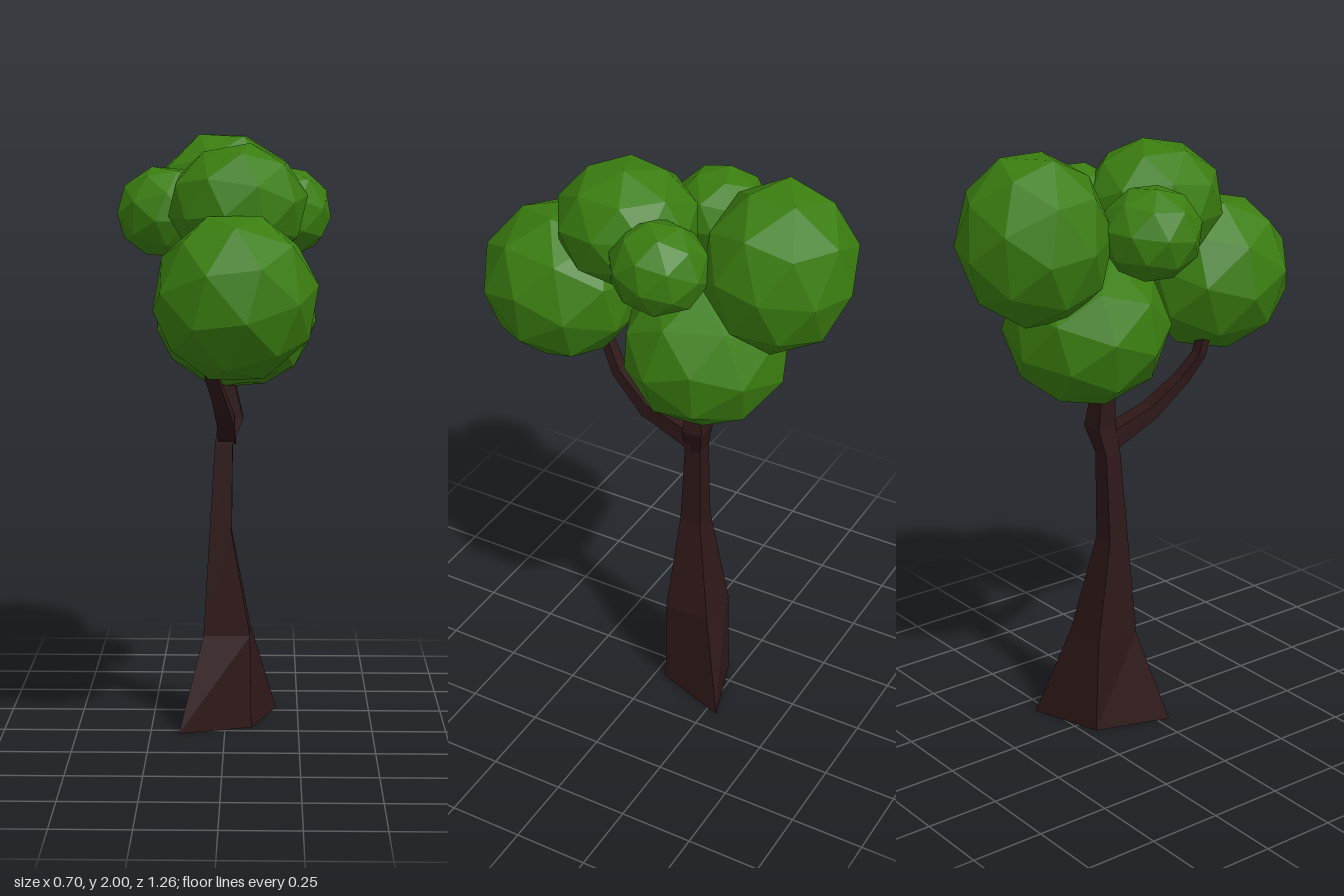
import * as THREE from 'three';
import { ConvexGeometry } from 'three/addons/geometries/ConvexGeometry.js';

const bark = new THREE.MeshStandardMaterial({ color: 0x2e1717, flatShading: true });
const leaf = new THREE.MeshStandardMaterial({ color: 0x3a7d10, flatShading: true });

// Skin a run of four-cornered rings, closing both ends
function loft(name, rings) {
  const pos = [];
  const quad = (a, b, c, d) => pos.push(...a, ...b, ...c, ...a, ...c, ...d);
  for (let r = 0; r < rings.length - 1; r++) {
    const lo = rings[r], hi = rings[r + 1];
    for (let i = 0; i < 4; i++) {
      const j = (i + 1) % 4;
      quad(lo[i], lo[j], hi[j], hi[i]);
    }
  }
  const first = rings[0], last = rings[rings.length - 1];
  quad(first[3], first[2], first[1], first[0]);
  quad(...last);
  const geo = new THREE.BufferGeometry();
  geo.setAttribute('position', new THREE.Float32BufferAttribute(pos, 3));
  geo.computeVertexNormals();
  const mesh = new THREE.Mesh(geo, bark);
  mesh.name = name;
  return mesh;
}

// Level trunk ring: x range and z range at height y
const level = (y, x0, x1, z0, z1) => [[x0, y, z1], [x1, y, z1], [x1, y, z0], [x0, y, z0]];

// Branch ring: centre, half width, half thickness, and climb angle of the branch
function tilted(x, y, z, w, t, angle) {
  const dy = t * Math.cos(angle), dz = -t * Math.sin(angle);
  return [[x - w, y - dy, z - dz], [x + w, y - dy, z - dz], [x + w, y + dy, z + dz], [x - w, y + dy, z + dz]];
}

// Faceted ball: icosahedron corners plus raised face centres
function ballPoints() {
  const p = new THREE.IcosahedronGeometry(1, 0).attributes.position;
  const pts = [];
  for (let i = 0; i < p.count; i += 3) {
    const tri = [0, 1, 2].map(k => new THREE.Vector3().fromBufferAttribute(p, i + k));
    const mid = tri[0].clone().add(tri[1]).add(tri[2]).normalize();
    for (const v of [...tri, mid]) {
      if (!pts.some(q => q.distanceTo(v) < 1e-3)) pts.push(v);
    }
  }
  return pts;
}

// Leaf clump turned at an angle and fitted to its centre and radii
function clump(name, centre, radii, turn) {
  const rot = new THREE.Euler(...turn);
  const pts = ballPoints().map(v => v.applyEuler(rot));
  const box = new THREE.Box3().setFromPoints(pts);
  const half = box.getSize(new THREE.Vector3()).multiplyScalar(0.5);
  const scale = new THREE.Vector3(...radii).divide(half);
  pts.forEach(v => v.multiply(scale));
  const mesh = new THREE.Mesh(new ConvexGeometry(pts), leaf);
  mesh.name = name;
  mesh.position.set(...centre);
  return mesh;
}

export function createModel() {
  const tree = new THREE.Group();
  tree.name = 'tree';

  // Trunk: splayed diamond foot tapering to a slim, slightly crooked top
  tree.add(loft('trunk', [
    [[-0.155, 0, 0.04], [0.09, 0, -0.04], [0.175, 0, -0.29], [-0.07, 0, -0.21]],
    level(0.32, -0.073, 0.085, -0.2, -0.04),
    level(0.67, -0.053, 0.022, -0.135, -0.06),
    level(0.97, -0.035, 0.025, -0.135, -0.077),
    level(1.06, -0.022, 0.06, -0.155, -0.085),
    level(1.18, -0.025, 0.032, -0.145, -0.09),
    level(1.3, -0.02, 0.03, -0.14, -0.09),
  ]));

  // Side branch curving forward and up into the front clump
  tree.add(loft('branch', [
    tilted(0.005, 1.01, -0.1, 0.03, 0.045, -0.35),
    tilted(0.005, 1.075, 0.075, 0.028, 0.024, 0.4),
    tilted(-0.015, 1.17, 0.195, 0.022, 0.018, 0.75),
    tilted(-0.04, 1.25, 0.25, 0.02, 0.015, 1.1),
    tilted(-0.045, 1.36, 0.28, 0.018, 0.014, 1.3),
  ]));

  // Crown
  const crown = new THREE.Group();
  crown.name = 'crown';
  crown.add(
    clump('backClump', [-0.005, 1.74, -0.39], [0.255, 0.263, 0.242], [0.4, 0.2, 0.3]),
    clump('frontClump', [0.04, 1.505, 0.365], [0.26, 0.255, 0.265], [0.15, 0.5, 0.2]),
    clump('lowerClump', [0.035, 1.405, -0.16], [0.267, 0.247, 0.265], [0.3, 0.9, 0.1]),
    clump('upperClump', [0.045, 1.78, 0.12], [0.225, 0.2, 0.232], [0.6, 0.1, 0.5]),
    clump('leftClump', [0.2, 1.752, -0.08], [0.15, 0.148, 0.157], [0.2, 0.7, 0.6]),
    clump('rightClump', [-0.2, 1.752, -0.08], [0.155, 0.148, 0.16], [0.5, 0.3, 0.9]),
  );
  tree.add(crown);
  return tree;
}
